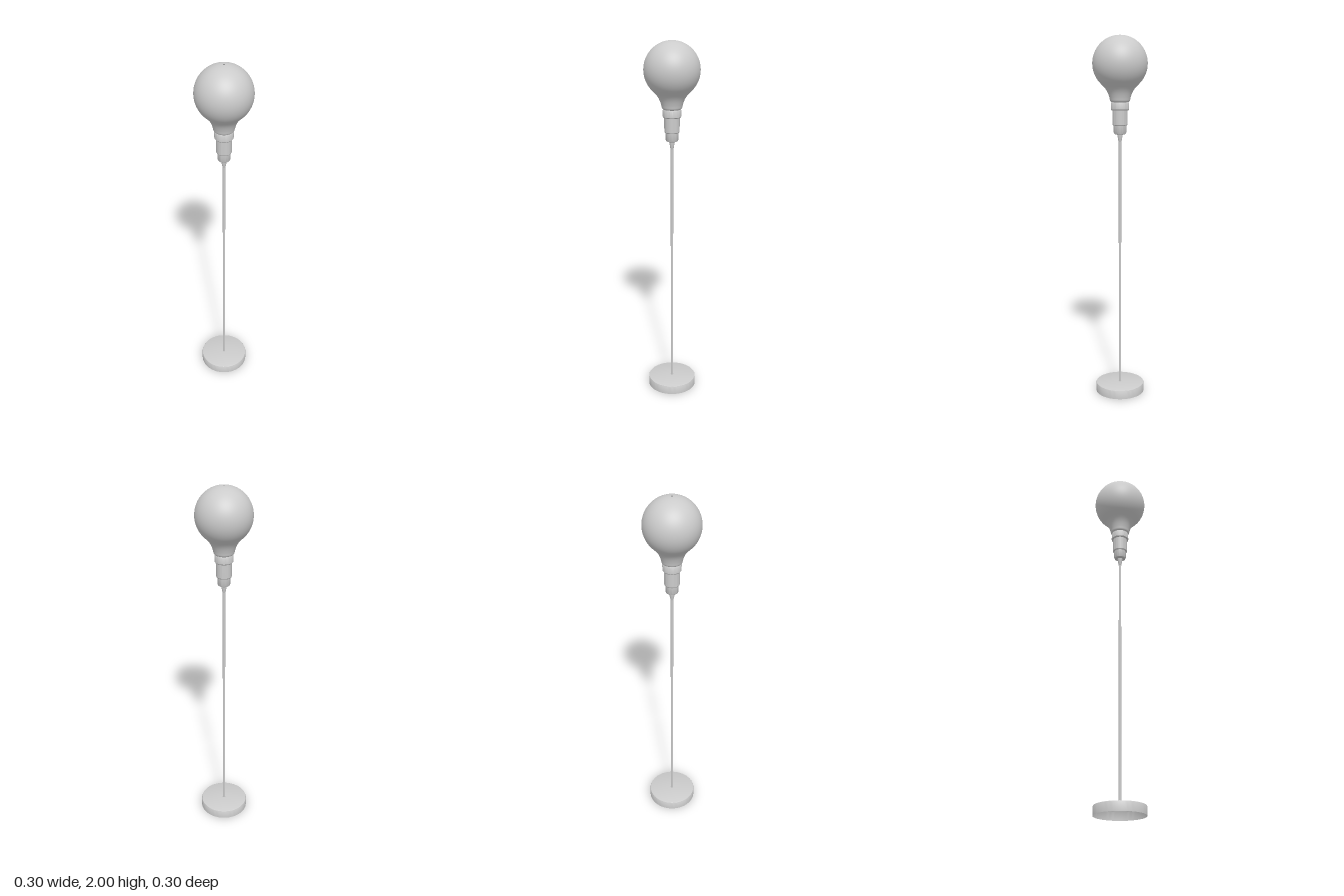
import * as THREE from 'three';
import { toCreasedNormals } from 'three/addons/utils/BufferGeometryUtils.js';

const SIDES = 64;

export function createModel() {
  const model = new THREE.Group();
  const material = new THREE.MeshStandardMaterial({ color: 0xcccccc, side: THREE.DoubleSide });

  // Turns a [radius, height] profile, listed bottom to top, around the y axis
  function turned(name, profile, sides = SIDES, creased = true) {
    const points = profile.map(([r, y]) => new THREE.Vector2(r, y));
    let geometry = new THREE.LatheGeometry(points, sides);
    if (creased) geometry = toCreasedNormals(geometry, 0.5);
    const mesh = new THREE.Mesh(geometry, material);
    mesh.name = name;
    model.add(mesh);
    return mesh;
  }

  // Round base cup, open underneath, with a small bevel on the top edge
  turned('base', [
    [0.137, 0], [0.137, 0.045], [0.135, 0.049], [0.131, 0.051], [0.008, 0.051],
  ]);

  // Thin upright cord
  const cord = new THREE.Mesh(new THREE.CylinderGeometry(0.007, 0.007, 1.41, 16), material);
  cord.name = 'cord';
  cord.position.y = 0.745;
  model.add(cord);

  // Tapered cord grip
  turned('cordGrip', [
    [0, 1.435], [0.008, 1.435], [0.010, 1.445], [0.015, 1.474], [0.015, 1.485],
  ], 32);

  // Stepped lamp holder
  turned('socketCap', [
    [0.014, 1.477], [0.027, 1.477], [0.031, 1.480], [0.034, 1.487], [0.034, 1.528],
  ]);
  turned('socketBody', [
    [0.030, 1.524], [0.038, 1.524], [0.041, 1.529], [0.041, 1.608],
  ]);
  turned('socketCollar', [
    [0.040, 1.605], [0.045, 1.605], [0.049, 1.610], [0.049, 1.643],
    [0.046, 1.649], [0.040, 1.651],
  ]);

  // Bulb: a curved neck flowing into a sphere, with a tiny opening on top
  const radius = 0.148, centre = 1.852;
  const outline = [[0.045, 1.648], [0.053, 1.655], [0.057, 1.672], [0.067, 1.700], [0.083, 1.725]];
  for (let i = 0; i <= 16; i++) {
    const a = THREE.MathUtils.lerp(-0.77, Math.PI / 2 - 0.03, i / 16);
    outline.push([radius * Math.cos(a), centre + radius * Math.sin(a)]);
  }
  const curve = new THREE.SplineCurve(outline.map(([r, y]) => new THREE.Vector2(r, y)));
  turned('bulb', curve.getPoints(60).map((p) => [p.x, p.y]), SIDES, false);

  return model;
}
